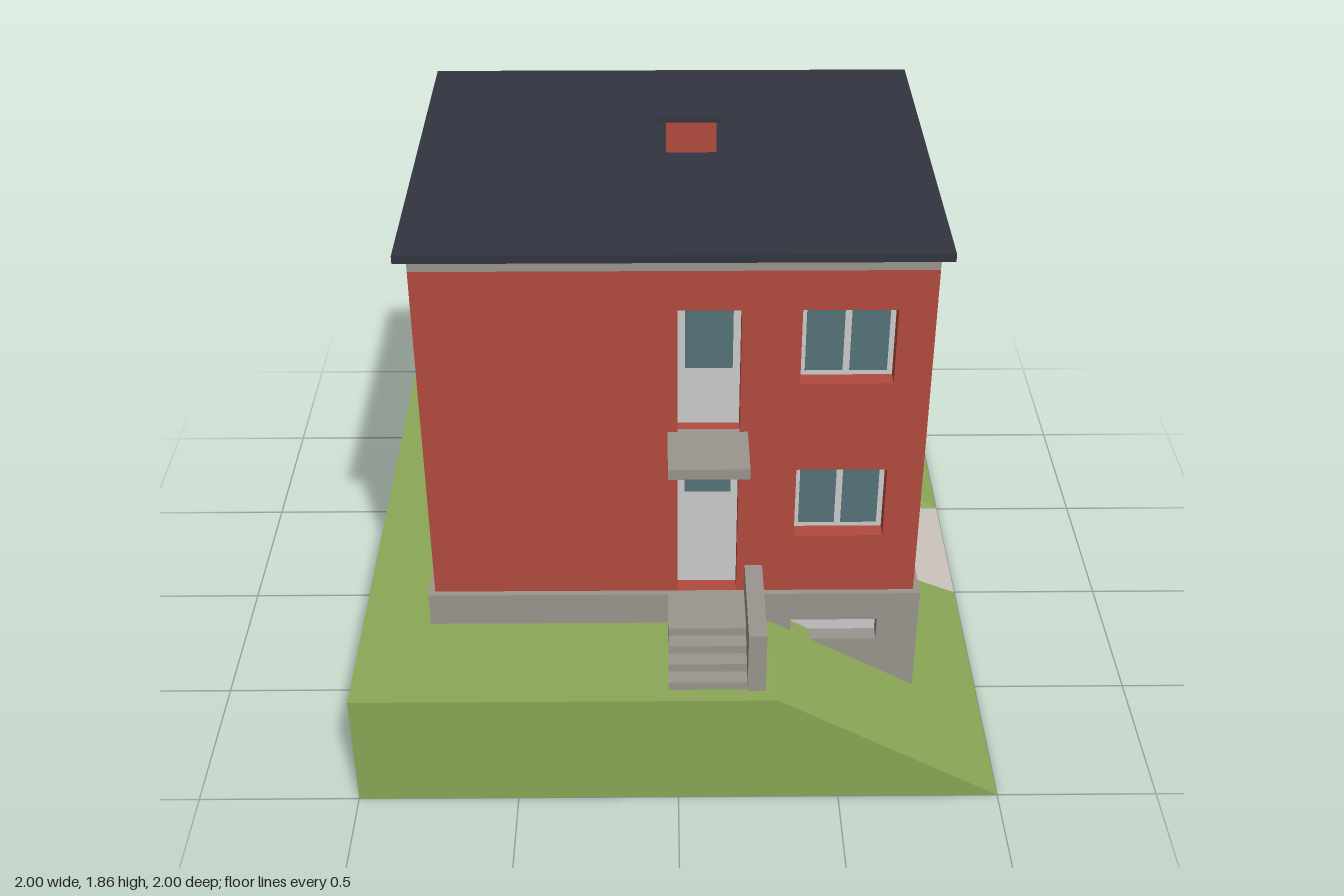
import * as THREE from 'three';

const mat = (color) => new THREE.MeshStandardMaterial({ color, side: THREE.DoubleSide, flatShading: true });
const BRICK = mat(0xb24a3e), CONCRETE = mat(0x9a958e), GRASS = mat(0x8ba757), SLATE = mat(0x32353f),
  GLASS = mat(0x55737a), PAINT = mat(0xcccccc), PAVING = mat(0xccc4bd);
const DEPTH = 0.05; // wall thickness and depth of the window recesses

// Box given by its lower and upper limits
function box(parent, name, material, x0, x1, y0, y1, z0, z1) {
  const mesh = new THREE.Mesh(new THREE.BoxGeometry(x1 - x0, y1 - y0, z1 - z0), material);
  mesh.position.set((x0 + x1) / 2, (y0 + y1) / 2, (z0 + z1) / 2);
  mesh.name = name;
  parent.add(mesh);
  return mesh;
}

const rect = (T, u0, u1, y0, y1) => new T([[u0, y0], [u1, y0], [u1, y1], [u0, y1]].map((p) => new THREE.Vector2(...p)));

// Frame panel set at the back of an opening, with optional panes
function filling(side, o) {
  const { name, u0, u1, y0, y1 } = o;
  const unit = new THREE.Group();
  unit.name = name;
  side.add(unit);
  box(unit, name + 'Frame', PAINT, u0, u1, y0, y1, -DEPTH - 0.01, -DEPTH);
  const pane = (a, b, c, d) => box(unit, name + 'Glass', GLASS, a, b, c, d, -DEPTH - 0.005, -DEPTH + 0.002);
  if (o.panes) {
    const edge = 0.016, gap = 0.02;
    const w = (u1 - u0 - 2 * edge - gap * (o.panes - 1)) / o.panes;
    for (let i = 0; i < o.panes; i++) {
      const a = u0 + edge + i * (w + gap);
      pane(a, a + w, y0 + edge, y1 - edge);
    }
  }
  if (o.glassFrom) pane(u0 + 0.022, u1 - 0.022, o.glassFrom, y1 - 0.02);
}

// One wall: local x runs along it, local z points outward from the building
function wall(parent, name, material, turn, distance, u0, u1, y0, y1, openings) {
  const side = new THREE.Group();
  side.name = name;
  side.rotation.y = turn;
  side.position.set(Math.sin(turn) * distance, 0, Math.cos(turn) * distance);
  const shape = rect(THREE.Shape, u0, u1, y0, y1);
  for (const o of openings) shape.holes.push(rect(THREE.Path, o.u0, o.u1, o.y0, o.y1));
  const mesh = new THREE.Mesh(new THREE.ExtrudeGeometry(shape, { depth: DEPTH, bevelEnabled: false }), material);
  mesh.position.z = -DEPTH;
  mesh.name = name + 'Surface';
  side.add(mesh);
  for (const o of openings) filling(side, o);
  parent.add(side);
}

// Flat faces, each a convex loop of corners
function faceted(name, material, faces) {
  const pos = [];
  for (const f of faces)
    for (let i = 1; i < f.length - 1; i++) pos.push(...f[0], ...f[i], ...f[i + 1]);
  const geo = new THREE.BufferGeometry();
  geo.setAttribute('position', new THREE.Float32BufferAttribute(pos, 3));
  geo.computeVertexNormals();
  const mesh = new THREE.Mesh(geo, material);
  mesh.name = name;
  return mesh;
}

function makeTerrain() {
  const H = 0.4, X = 0.3; // plateau height and the line where the slope begins
  return faceted('terrain', GRASS, [
    [[-1, H, 1], [X, H, 1], [X, H, -1], [-1, H, -1]], // plateau
    [[X, H, 1], [1, 0, 1], [1, 0, 0], [X, H, 0.15]], // slope in front of the drive
    [[X, H, -0.65], [1, 0, -0.5], [1, 0, -1], [X, H, -1]], // slope behind the drive
    [[X, 0, 0], [X, H, 0.15], [1, 0, 0]], // banks of the cutting
    [[X, 0, -0.5], [1, 0, -0.5], [X, H, -0.65]],
    [[X, 0, 0], [X, 0, -0.5], [X, H, -0.65], [X, H, 0.15]],
    [[-1, 0, 1], [1, 0, 1], [X, H, 1], [-1, H, 1]], // outer sides
    [[1, 0, -1], [-1, 0, -1], [-1, H, -1], [X, H, -1]],
    [[-1, 0, -1], [-1, 0, 1], [-1, H, 1], [-1, H, -1]],
  ]);
}

export function createModel() {
  const model = new THREE.Group();
  model.name = 'house';
  const { PI } = Math;
  const LOW = [0.73, 0.98], HIGH = [1.29, 1.54];
  const opening = (name, u0, u1, [y0, y1], extra) => ({ name, u0, u1, y0, y1, ...extra });
  const win = (u0, u1, level, panes = 2) => opening('window', u0, u1, level, { panes });

  // Ground and drive
  model.add(makeTerrain());
  box(model, 'driveway', PAVING, 0.3, 1, 0, 0.003, -0.5, 0);

  // Foundation walls
  const base = new THREE.Group();
  base.name = 'foundation';
  model.add(base);
  const F = 0.515;
  wall(base, 'foundationFront', CONCRETE, 0, 0.635, -0.785, 0.765, 0, F,
    [opening('basementWindow', 0.36, 0.635, [0.33, 0.41])]);
  wall(base, 'foundationBack', CONCRETE, PI, 0.635, -0.765, 0.785, 0, F, []);
  wall(base, 'foundationRight', CONCRETE, PI / 2, 0.765, -0.635, 0.635, 0, F,
    [opening('garageDoor', 0, 0.5, [0.002, 0.44])]);
  wall(base, 'foundationLeft', CONCRETE, -PI / 2, 0.785, -0.635, 0.635, 0, F, []);

  // Brick walls with recessed windows and doors
  const body = new THREE.Group();
  body.name = 'brickWalls';
  model.add(body);
  const T = 1.67;
  wall(body, 'wallFront', BRICK, 0, 0.615, -0.765, 0.745, F, T, [
    win(0.36, 0.635, LOW), win(0.36, 0.635, HIGH),
    opening('frontDoor', 0, 0.185, [F + 0.001, 0.98], { glassFrom: 0.865 }),
    opening('balconyDoor', 0, 0.185, [1.12, 1.54], { glassFrom: 1.315 }),
  ]);
  wall(body, 'wallBack', BRICK, PI, 0.615, -0.745, 0.765, F, T, [
    win(-0.485, -0.21, HIGH),
    opening('backDoor', 0.25, 0.49, [F + 0.001, 0.98]),
  ]);
  wall(body, 'wallRight', BRICK, PI / 2, 0.745, -0.615, 0.615, F, T, [win(0.165, 0.44, LOW)]);
  wall(body, 'wallLeft', BRICK, -PI / 2, 0.765, -0.615, 0.615, F, T,
    [win(-0.01, 0.265, LOW), win(-0.235, 0.135, HIGH, 3)]);

  // Eaves band, roof and chimney
  box(model, 'eavesBand', CONCRETE, -0.765, 0.745, T, 1.715, -0.615, 0.615);
  box(model, 'roof', SLATE, -0.8, 0.78, 1.715, 1.74, -0.65, 0.65);
  box(model, 'chimney', BRICK, -0.03, 0.125, 1.74, 1.845, -0.12, -0.01);
  box(model, 'chimneyCap', SLATE, -0.05, 0.145, 1.845, 1.862, -0.14, 0);

  // Balcony, entrance steps and their side wall
  box(model, 'balcony', CONCRETE, -0.03, 0.21, 1.085, 1.12, 0.6, 0.81);
  const steps = new THREE.Group();
  steps.name = 'entranceSteps';
  model.add(steps);
  for (let i = 0; i < 4; i++) {
    const y = 0.4 + i * 0.02875;
    box(steps, 'step', CONCRETE, -0.03, 0.21, y, y + 0.02875, 0.61, 0.95 - i * 0.05);
  }
  box(steps, 'stepSideWall', CONCRETE, 0.21, 0.265, 0.4, 0.615, 0.61, 0.957);
  return model;
}
